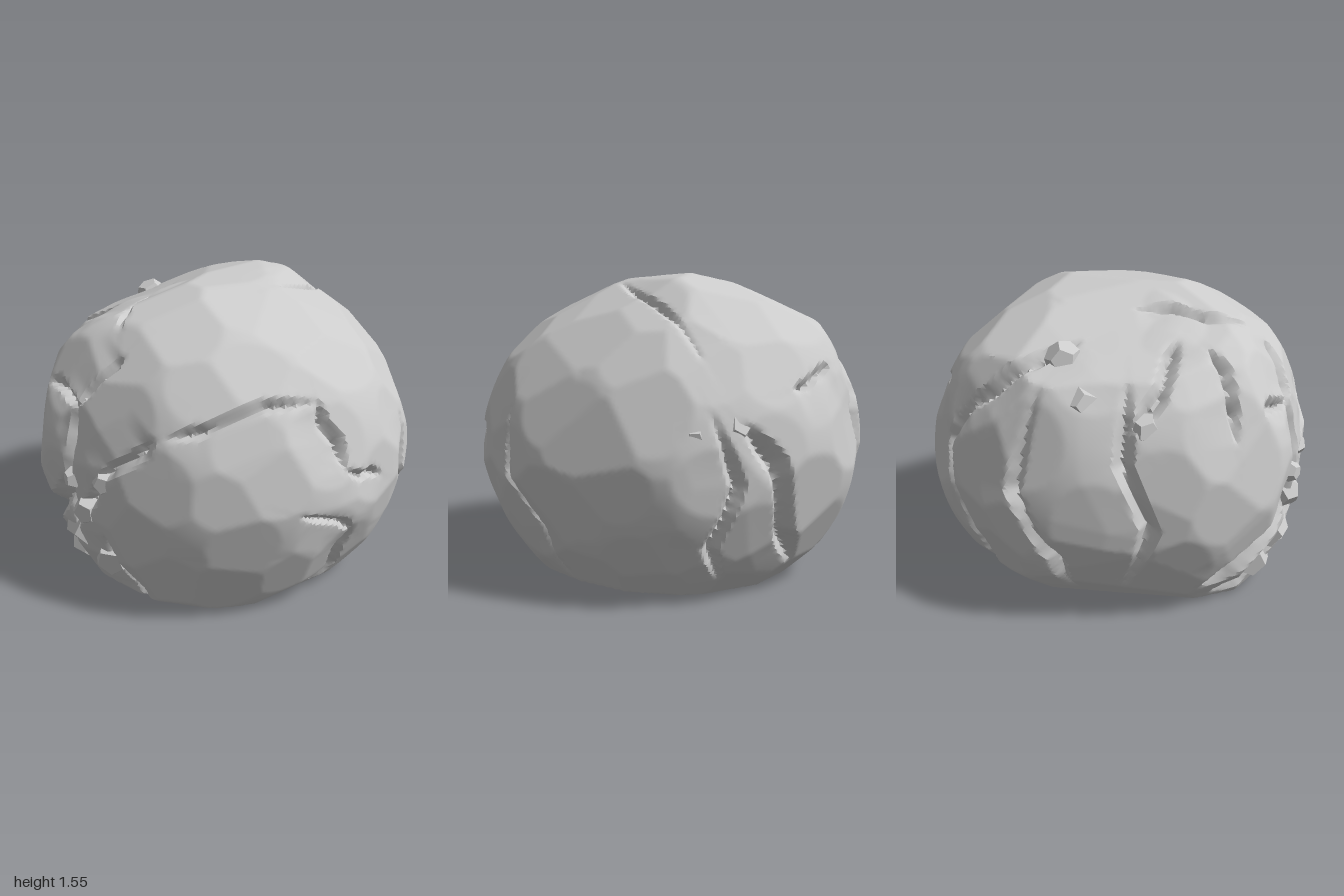
import * as THREE from 'three';
import { mergeVertices, toCreasedNormals } from 'three/addons/utils/BufferGeometryUtils.js';

const CENTRE = new THREE.Vector3(0, 0.6, 0);
const V = (x, y, z) => new THREE.Vector3(x, y, z);

let seed = 7;
const rand = () => ((seed = (seed * 16807) % 2147483647) / 2147483647);
const jitter = (amount) => V(rand() - 0.5, rand() - 0.5, rand() - 0.5).multiplyScalar(amount);

// Turns an outline into a radius-by-angle function
function polar(points, cy) {
  const list = points.map(([x, y]) => [Math.atan2(y - cy, x), Math.hypot(x, y - cy)]).sort((a, b) => a[0] - b[0]);
  const first = list[0], last = list[list.length - 1];
  list.unshift([last[0] - 2 * Math.PI, last[1]]);
  list.push([first[0] + 2 * Math.PI, first[1]]);
  return (a) => {
    let i = 1;
    while (i < list.length - 1 && list[i][0] < a) i++;
    const [a0, r0] = list[i - 1], [a1, r1] = list[i];
    return r0 + (r1 - r0) * (a - a0) / (a1 - a0);
  };
}

// Outlines: front (x, y), side (z, y), plan (x, z)
const front = polar([[0.65, 0], [0.91, 0.4], [0.98, 0.65], [0.8, 1.15], [0.4, 1.43], [0, 1.55],
  [-0.4, 1.43], [-0.85, 1.24], [-0.97, 0.5], [-0.62, 0]], 0.6);
const side = polar([[0.77, 0], [0.94, 0.4], [0.97, 0.7], [0.75, 1.28], [0, 1.55],
  [-0.35, 1.53], [-0.75, 1.25], [-1, 0.65], [-0.67, 0]], 0.6);
const plan = polar([[0.98, -0.12], [0.7, -0.65], [0.3, -0.95], [0, -1], [-0.72, -0.75],
  [-0.98, -0.27], [-0.9, 0.25], [-0.5, 0.88], [0.03, 0.96], [0.65, 0.72]], 0);

// Radius of the smooth body along a unit direction
function bodyRadius(d) {
  const flat = Math.hypot(d.x, d.z), k = flat > 1e-6 ? (d.x / flat) ** 2 : 0.5;
  const blend = (y, f) => k * front(Math.atan2(y, Math.sign(d.x || 1) * f)) + (1 - k) * side(Math.atan2(y, Math.sign(d.z || 1) * f));
  return blend(d.y, flat) * Math.pow(plan(Math.atan2(d.z, d.x)) / blend(0, 1), flat);
}

// Broad facets: planes touching the body at scattered points
function makeFacets(count) {
  const facets = [];
  for (let i = 0; i < count; i++) {
    const y = 1 - 2 * (i + 0.5) / count, a = i * 2.39996, s = Math.sqrt(1 - y * y);
    const d = V(s * Math.cos(a), y, s * Math.sin(a)).add(jitter(0.22)).normalize();
    const u = V(-d.z, 0, d.x).normalize(), w = d.clone().cross(u);
    const at = (t, e) => {
      const q = d.clone().addScaledVector(t, e).normalize();
      return q.multiplyScalar(bodyRadius(q));
    };
    const n = at(u, 0.12).sub(at(u, -0.12)).cross(at(w, 0.12).sub(at(w, -0.12))).normalize();
    if (n.dot(d) < 0) n.negate();
    facets.push({ d, n, offset: n.dot(at(u, 0)) * (0.985 + 0.012 * rand()) });
  }
  return facets;
}

// Places a point seen from one side onto the unit sphere
const rest = (a, b) => Math.sqrt(Math.max(0.02, 1 - a * a - b * b));
const high = (y) => (y - 0.6) / 0.95;
const seen = {
  front: (x, y) => V(x, high(y), rest(x, high(y))).normalize(),
  back: (x, y) => V(x, high(y), -rest(x, high(y))).normalize(),
  right: (z, y) => V(rest(z, high(y)), high(y), z).normalize(),
  left: (z, y) => V(-rest(z, high(y)), high(y), z).normalize(),
  top: (x, z) => V(x, rest(x, z), z).normalize(),
};

// Cracks by side: both ends and the width
const crackEnds = {
  front: [[0, 1.24, -0.18, 1, 0.035], [-0.18, 1.02, -0.2, 0.4, 0.045], [-0.44, 1.03, -0.18, 1.01, 0.035],
    [0.31, 0.97, 0.02, 0.72, 0.04], [0.02, 0.72, -0.2, 0.4, 0.04], [-0.24, 0.64, -0.62, 0.15, 0.07],
    [-0.2, 0.4, -0.5, 0.05, 0.045], [0, 0.4, 0.1, 0, 0.04], [0.36, 0.98, 0.8, 1.1, 0.035], [-0.42, 1.3, -0.6, 0.94, 0.03]],
  right: [[0.29, 1.1, 0.26, 0.8, 0.035], [0.26, 0.8, 0, 0.7, 0.03], [0.5, 0.64, 0.17, 0.45, 0.03],
    [0.17, 0.45, 0.17, 0, 0.035], [-0.3, 0.9, -0.34, 0, 0.035]],
  top: [[0.12, -0.82, 0.29, -0.08, 0.035], [-0.3, 0.15, -0.1, 0.65, 0.035],
    [-0.85, 0.28, -0.45, 0.4, 0.045], [-0.75, -0.5, -0.6, -0.05, 0.045]],
  left: [[-0.42, 1.1, -0.45, 0, 0.05], [-0.12, 1.15, -0.07, 0.05, 0.05], [0.24, 1.2, 0.26, 0.15, 0.05]],
  back: [[-0.02, 0.85, -0.4, 0.15, 0.06], [0.12, 0.9, 0.02, 0.1, 0.04], [-0.3, 0.98, -0.55, 1.05, 0.03]],
};

// Each crack runs between its ends with slight zigzags
function makeCracks() {
  return Object.entries(crackEnds).flatMap(([view, list]) => list.map(([a, b, c, e, width]) => {
    const start = seen[view](a, b), end = seen[view](c, e), bend = 0.2 * start.distanceTo(end);
    const middle = [1 / 3, 2 / 3].map((t) => start.clone().lerp(end, t).add(jitter(bend)).normalize());
    return { width, pts: [start, ...middle, end] };
  }));
}

// Groove and one-sided ledge left by a crack; both fade towards its ends
function crackOffset(d, { width, pts }) {
  const line = new THREE.Line3(), hit = V(0, 0, 0);
  let best = 9, along = 0, turn = 1;
  for (let i = 0; i < pts.length - 1; i++) {
    line.set(pts[i], pts[i + 1]);
    const t = line.closestPointToPointParameter(d, true);
    const dist = line.at(t, hit).distanceTo(d);
    if (dist < best) {
      best = dist;
      along = (i + t) / (pts.length - 1);
      turn = pts[i + 1].clone().sub(pts[i]).cross(d.clone().sub(hit)).dot(d);
    }
  }
  if (best > 0.2) return 0;
  const fade = Math.min(1, 5 * along * (1 - along) + 0.1);
  const ledge = turn < 0 ? 0.02 * (1 - best / 0.2) : 0;
  return -fade * (ledge + 1.4 * width * Math.max(0, 1 - best / (width * (0.4 + 0.6 * fade))));
}

function boulderGeometry() {
  const sphere = new THREE.IcosahedronGeometry(1, 60);
  sphere.deleteAttribute('uv');
  sphere.deleteAttribute('normal');
  const geo = mergeVertices(sphere, 1e-5);
  const facets = makeFacets(120), cracks = makeCracks();
  const pos = geo.attributes.position, d = V(0, 0, 0);
  for (let i = 0; i < pos.count; i++) {
    d.fromBufferAttribute(pos, i).normalize();
    const body = bodyRadius(d);
    let r = body * 1.01;
    for (const f of facets) if (f.d.dot(d) > 0.75) r = Math.min(r, f.offset / Math.max(0.2, f.n.dot(d)));
    r = Math.max(r, body * 0.97);
    for (const c of cracks) r += crackOffset(d, c);
    // Flat underside
    if (d.y < 0) r = Math.min(r, CENTRE.y / -d.y);
    d.multiplyScalar(r).add(CENTRE);
    pos.setXYZ(i, d.x, d.y, d.z);
  }
  return toCreasedNormals(geo, 0.5);
}

export function createModel() {
  const group = new THREE.Group();
  group.name = 'boulder';
  const add = (name, geometry, flatShading) => {
    const mesh = new THREE.Mesh(geometry, new THREE.MeshStandardMaterial({ color: 0xcccccc, flatShading }));
    mesh.name = name;
    group.add(mesh);
    return mesh;
  };
  add('rockBody', boulderGeometry(), false);

  // Broken chips wedged in the cracks: side, position, size
  const chips = [
    ['front', 0.03, 0.71, 0.07], ['front', -0.2, 0.66, 0.06], ['front', -0.13, 0.5, 0.09],
    ['front', -0.25, 0.33, 0.12], ['front', -0.32, 0.17, 0.12], ['front', -0.06, 0.2, 0.12],
    ['left', 0.05, 1.14, 0.09], ['top', -0.68, -0.1, 0.09], ['left', 0.35, 1.05, 0.08],
    ['back', 0, 0.85, 0.08], ['back', 0.2, 0.82, 0.06],
  ];
  for (const [view, a, b, size] of chips) {
    const d = seen[view](a, b);
    const mesh = add('stoneChip', new THREE.DodecahedronGeometry(size, 0), true);
    mesh.position.copy(d).multiplyScalar(bodyRadius(d) - 0.7 * size).add(CENTRE);
    mesh.rotation.set(rand() * 3, rand() * 3, rand() * 3);
  }
  return group;
}
